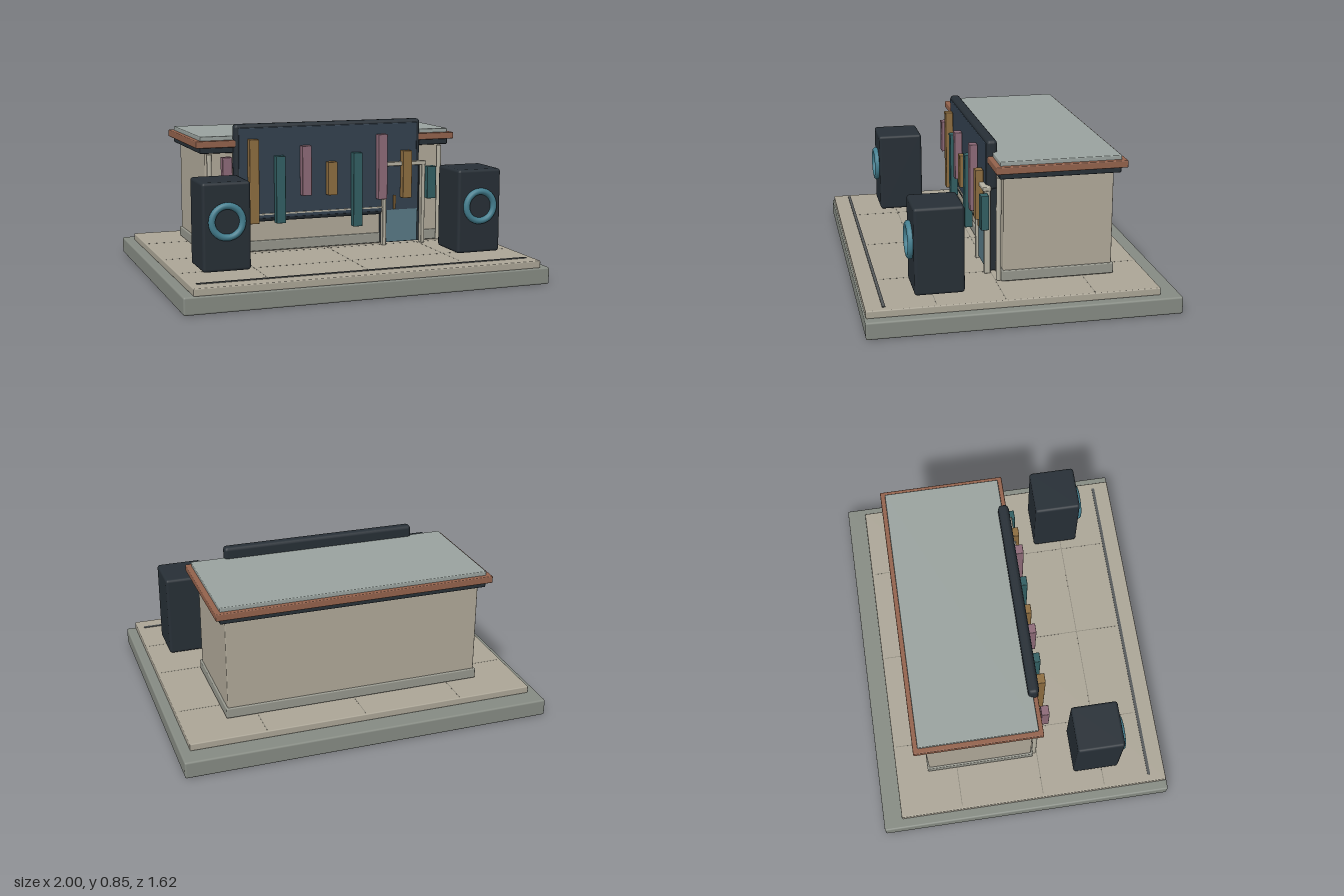
import * as THREE from 'three';
import { RoundedBoxGeometry } from 'three/addons/geometries/RoundedBoxGeometry.js';

const mats = {};
const paint = (color) => (mats[color] ??= new THREE.MeshStandardMaterial({ color }));

const STONE = 0x868b83, PAVING = 0xaca697, WALL = 0xb0a999, TRIM = 0xb5b1a2;
const DARK = 0x272f36, SCREEN = 0x33414f, COPPER = 0x93624c, ROOF = 0x9aa39f;
const PINK = 0x8d6a78, GOLD = 0x8d6d40, TEAL = 0x325f63, RING = 0x447f90, GLASS = 0x587985;

export function createModel() {
  const model = new THREE.Group();

  const add = (parent, name, geometry, color) => {
    const mesh = new THREE.Mesh(geometry, paint(color));
    mesh.name = name;
    parent.add(mesh);
    return mesh;
  };

  // Box given by its extents on each axis, with an optional rounded edge
  const box = (parent, name, color, [x0, x1], [y0, y1], [z0, z1], r = 0) => {
    const size = [x1 - x0, y1 - y0, z1 - z0];
    const geometry = r ? new RoundedBoxGeometry(...size, 2, r) : new THREE.BoxGeometry(...size);
    const mesh = add(parent, name, geometry, color);
    mesh.position.set((x0 + x1) / 2, (y0 + y1) / 2, (z0 + z1) / 2);
    return mesh;
  };

  // Ground slab and paved plaza
  box(model, 'baseSlab', STONE, [-1, 1], [0, 0.092], [-0.81, 0.81], 0.01);
  box(model, 'plaza', PAVING, [-0.948, 0.948], [0.09, 0.13], [-0.705, 0.803], 0.006);
  box(model, 'frontDrain', 0x55595a, [-0.91, 0.91], [0.128, 0.134], [0.702, 0.718]);
  for (const x of [-0.54, 0, 0.54])
    box(model, 'pavingJoint', 0x8b877b, [x - 0.002, x + 0.002], [0.128, 0.1305], [-0.69, 0.69]);
  for (const z of [-0.36, 0.1, 0.45])
    box(model, 'pavingJoint', 0x8b877b, [-0.93, 0.93], [0.128, 0.1305], [z - 0.002, z + 0.002]);

  // Building
  const building = new THREE.Group();
  building.name = 'building';
  model.add(building);
  box(building, 'walls', WALL, [-0.7, 0.7], [0.13, 0.7], [-0.515, 0.065], 0.006);
  box(building, 'plinth', 0x96978d, [-0.71, 0.71], [0.135, 0.192], [-0.525, 0.075], 0.006);
  box(building, 'eavesBand', DARK, [-0.73, 0.73], [0.69, 0.725], [-0.545, 0.09], 0.005);
  box(building, 'copperCornice', COPPER, [-0.757, 0.757], [0.722, 0.76], [-0.573, 0.113], 0.005);
  box(building, 'roofSlab', ROOF, [-0.73, 0.73], [0.755, 0.782], [-0.547, 0.088], 0.005);
  for (const s of [-1, 1]) {
    const post = add(building, 'cornerPost', new THREE.CylinderGeometry(0.013, 0.013, 0.55, 16), TRIM);
    post.position.set(s * 0.68, 0.41, 0.085);
  }

  // Large display board
  const board = new THREE.Group();
  board.name = 'displayBoard';
  model.add(board);
  box(board, 'boardFrame', DARK, [-0.548, 0.546], [0.305, 0.845], [0.062, 0.118], 0.02);
  box(board, 'boardScreen', SCREEN, [-0.525, 0.523], [0.325, 0.825], [0.1, 0.121], 0.004);
  box(board, 'boardRail', TRIM, [-0.47, 0.31], [0.344, 0.352], [0.118, 0.127]);

  // Hanging bars of differing lengths
  const spans = [
    [0.49, 0.675], [0.305, 0.765], [0.3, 0.67], [0.445, 0.72], [0.44, 0.625],
    [0.255, 0.67], [0.4, 0.767], [0.4, 0.67], [0.39, 0.575],
  ];
  const barColors = [PINK, GOLD, TEAL];
  spans.forEach((span, i) => {
    const x = (i - 4) * 0.15;
    box(model, 'hangingBar', barColors[i % 3], [x - 0.027, x + 0.027], span, [0.123, 0.166], 0.003);
  });

  // Entrance door with posts and lintel
  const door = new THREE.Group();
  door.name = 'entrance';
  model.add(door);
  box(door, 'doorFrame', DARK, [0.32, 0.555], [0.14, 0.59], [0.06, 0.105]);
  box(door, 'lowerGlass', GLASS, [0.34, 0.53], [0.145, 0.33], [0.1, 0.122]);
  box(door, 'upperGlass', SCREEN, [0.34, 0.53], [0.33, 0.585], [0.1, 0.122]);
  box(door, 'doorHandle', GOLD, [0.38, 0.392], [0.335, 0.415], [0.12, 0.135]);
  for (const x of [0.322, 0.56])
    box(door, 'doorPost', TRIM, [x - 0.011, x + 0.011], [0.13, 0.6], [0.105, 0.138], 0.004);
  box(door, 'doorLintel', TRIM, [0.31, 0.575], [0.583, 0.606], [0.1, 0.146], 0.005);

  // Pair of loudspeakers
  for (const s of [-1, 1]) {
    const speaker = new THREE.Group();
    speaker.name = s > 0 ? 'leftSpeaker' : 'rightSpeaker';
    speaker.position.set(s * 0.709, 0, 0);
    model.add(speaker);
    box(speaker, 'cabinet', DARK, [-0.127, 0.127], [0.142, 0.6], [0.289, 0.545], 0.016);
    const ring = add(speaker, 'speakerRing', new THREE.TorusGeometry(0.081, 0.018, 12, 40), RING);
    ring.position.set(0, 0.4, 0.553);
    const cone = add(speaker, 'speakerCone', new THREE.CylinderGeometry(0.07, 0.07, 0.008, 32), DARK);
    cone.rotation.x = Math.PI / 2;
    cone.position.set(0, 0.4, 0.546);
  }

  return model;
}
